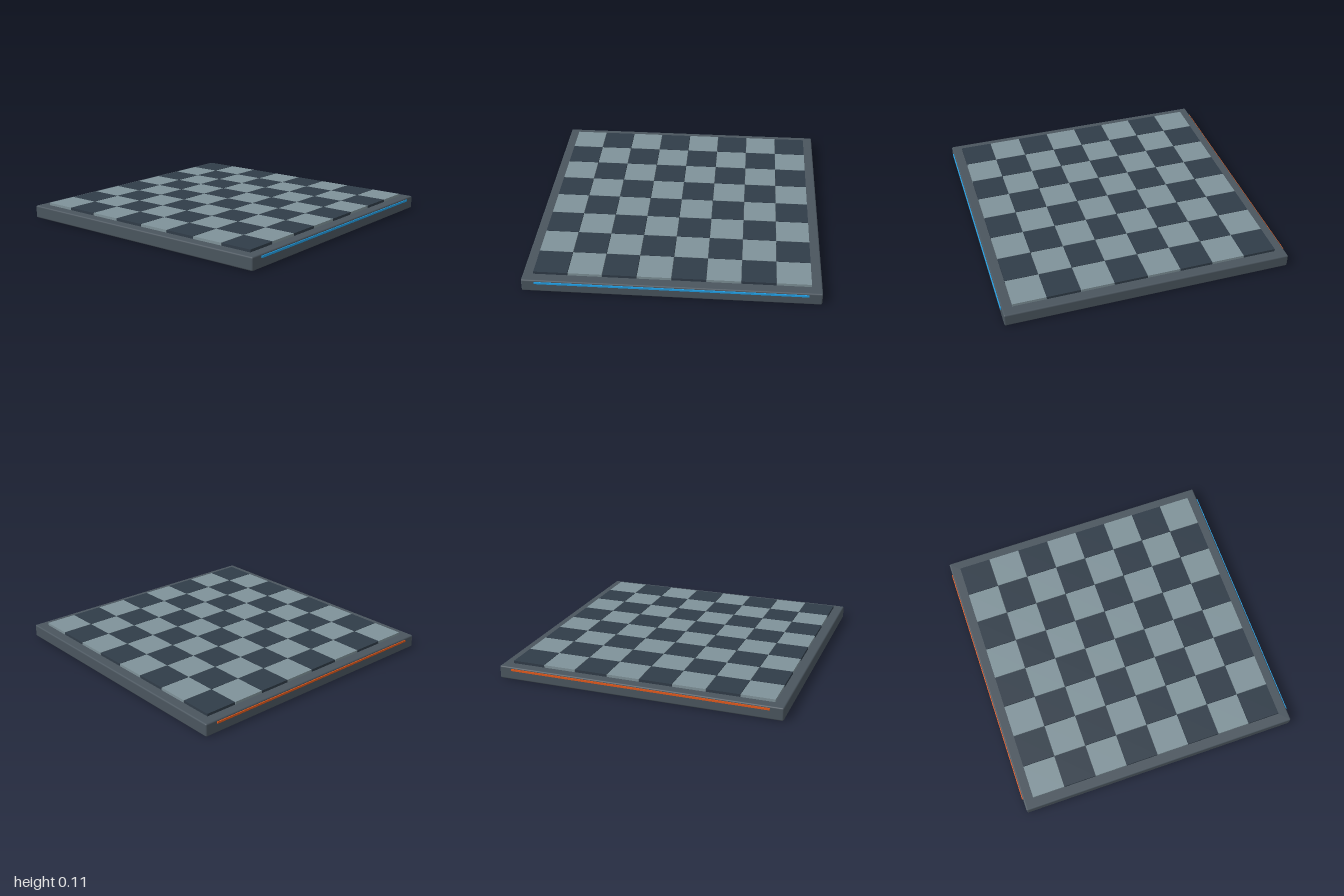
import * as THREE from 'three';
import { RoundedBoxGeometry } from 'three/addons/geometries/RoundedBoxGeometry.js';

const paint = (color) => new THREE.MeshStandardMaterial({ color });

export function createModel() {
  const board = new THREE.Group();
  board.name = 'checkeredBoard';

  const add = (parent, name, geometry, material, x, y, z) => {
    const mesh = new THREE.Mesh(geometry, material);
    mesh.name = name;
    mesh.position.set(x, y, z);
    parent.add(mesh);
  };

  // Slab with softly rounded edges
  add(board, 'base', new RoundedBoxGeometry(1.988, 0.09, 1.988, 3, 0.01), paint(0x4a555e), 0, 0.045, 0);

  // Eight by eight raised tiles, light in the back left corner of the plan
  const pitch = 0.231;
  const tileGeometry = new THREE.BoxGeometry(0.228, 0.028, 0.228);
  const light = paint(0x7f9299);
  const dark = paint(0x303c48);
  const tiles = new THREE.Group();
  tiles.name = 'tiles';
  board.add(tiles);
  for (let row = 0; row < 8; row++) {
    for (let col = 0; col < 8; col++) {
      const isLight = (row + col) % 2 === 0;
      add(tiles, isLight ? 'lightTile' : 'darkTile', tileGeometry, isLight ? light : dark,
        (col - 3.5) * pitch, 0.094, (row - 3.5) * pitch);
    }
  }

  // Coloured strips marking the two players' sides
  const stripGeometry = new THREE.BoxGeometry(1.81, 0.014, 0.014);
  add(board, 'frontStrip', stripGeometry, paint(0x22a0e6), 0, 0.072, 0.993);
  add(board, 'backStrip', stripGeometry, paint(0xe0591c), 0, 0.072, -0.993);

  return board;
}
